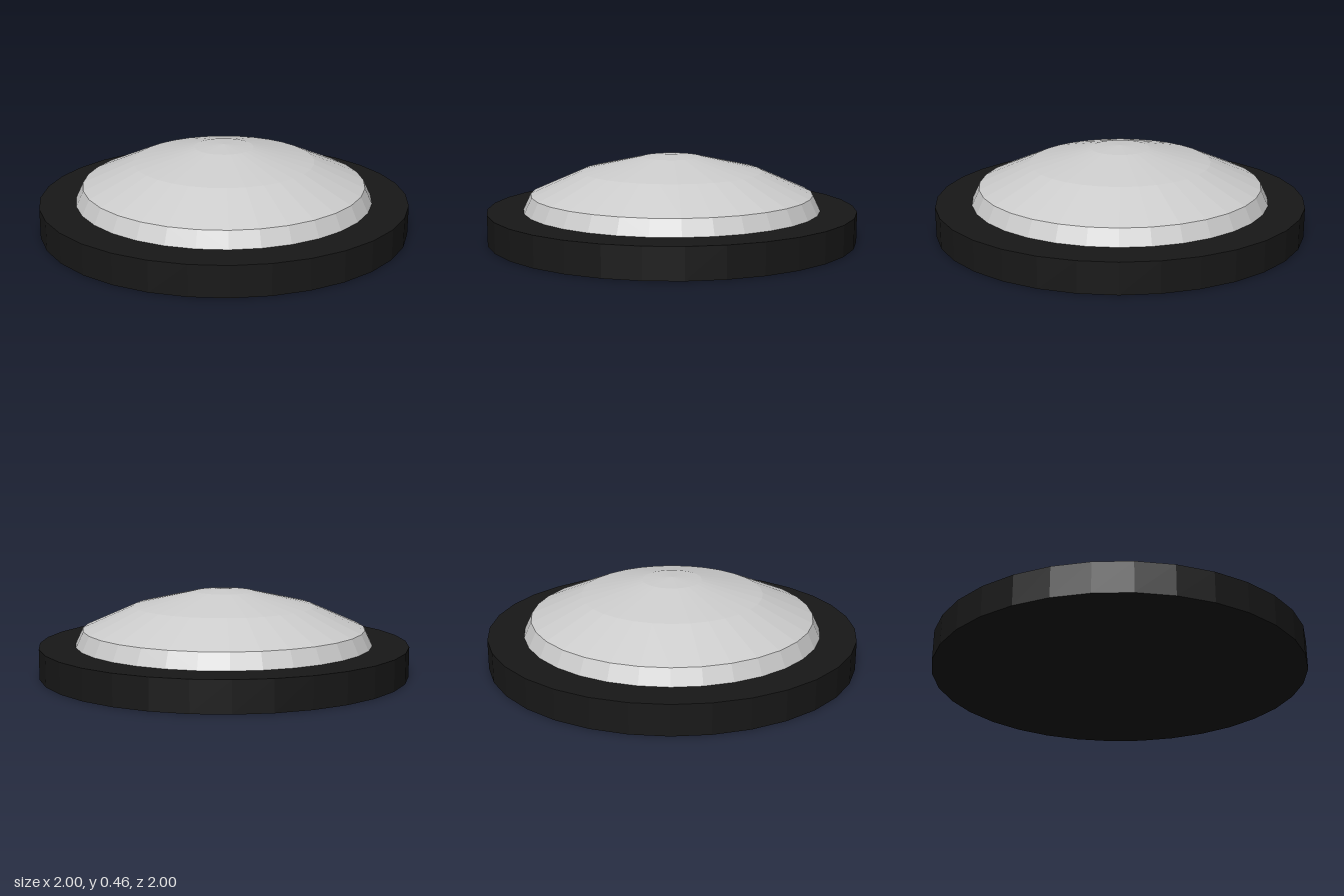
import * as THREE from 'three';

const SIDES = 32;

function part(name, geometry, color) {
  const mesh = new THREE.Mesh(
    geometry,
    new THREE.MeshStandardMaterial({ color, flatShading: true })
  );
  mesh.name = name;
  return mesh;
}

export function createModel() {
  const model = new THREE.Group();
  model.name = 'domeLight';

  // Dark round base plate
  const base = part('base', new THREE.CylinderGeometry(1, 1, 0.163, SIDES), 0x181818);
  base.position.y = 0.0815;
  model.add(base);

  // Faceted dome: steep rim, then shallow rings up to the tip
  const profile = [
    [0.805, 0.163],
    [0.765, 0.247],
    [0.49, 0.368],
    [0.16, 0.444],
    [0, 0.457],
  ].map(([r, y]) => new THREE.Vector2(r, y));
  model.add(part('dome', new THREE.LatheGeometry(profile, SIDES), 0xcccccc));

  return model;
}
